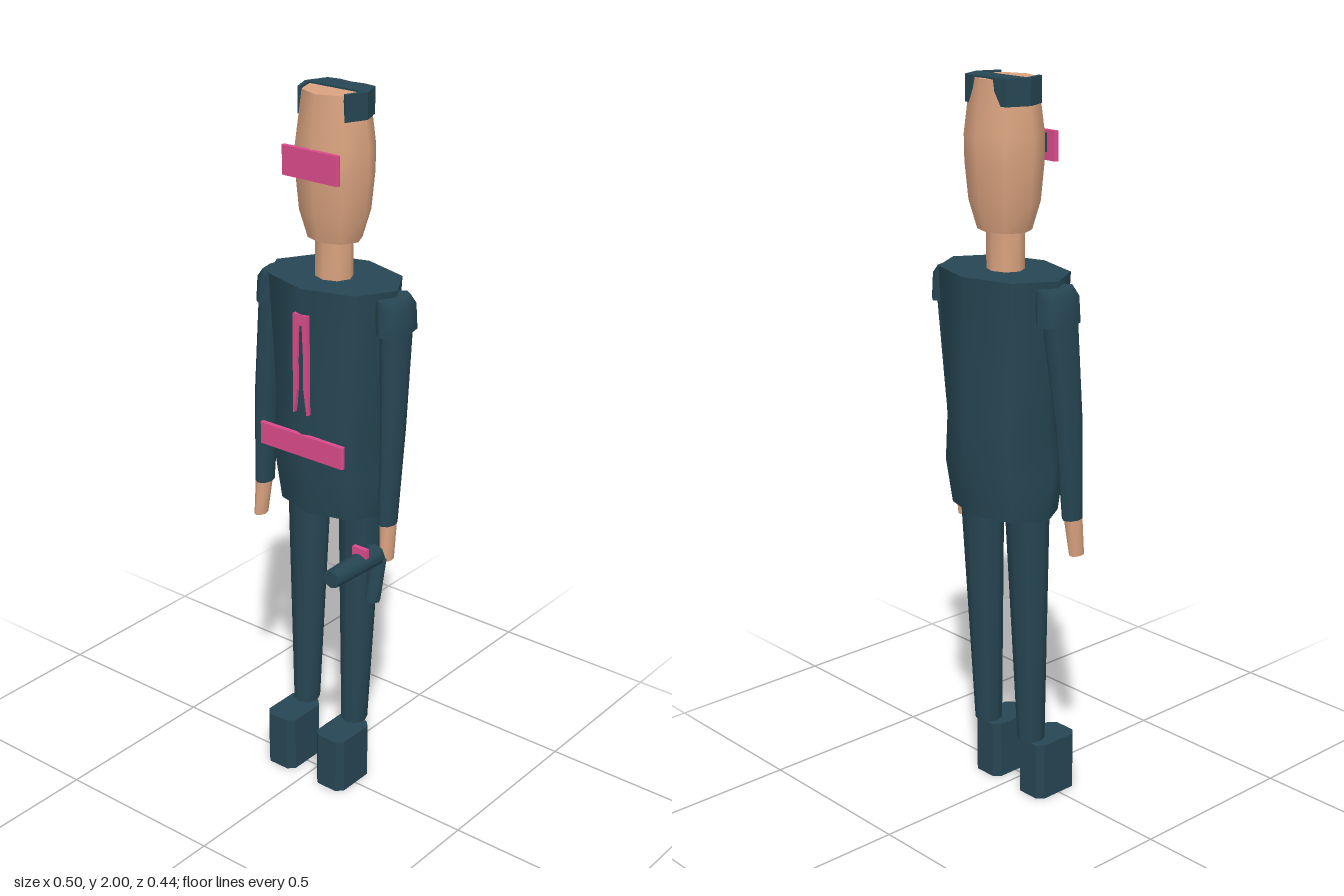
import * as THREE from 'three';

const mat = (name, color) => {
  const m = new THREE.MeshStandardMaterial({ color });
  m.name = name;
  return m;
};

// Smooth-sided loft through elliptical rings [y, x, z, rx, rz] listed bottom to top, with flat caps
function loft(rings, sides = 8) {
  const pos = [], idx = [];
  const ringVerts = ([y, x, z, rx, rz]) => {
    const start = pos.length / 3;
    for (let j = 0; j < sides; j++) {
      const a = (j / sides) * Math.PI * 2;
      pos.push(x + Math.sin(a) * rx, y, z + Math.cos(a) * rz);
    }
    return start;
  };
  const starts = rings.map(ringVerts);
  for (let i = 0; i < rings.length - 1; i++) {
    for (let j = 0; j < sides; j++) {
      const k = (j + 1) % sides;
      const a = starts[i] + j, b = starts[i] + k, c = starts[i + 1] + j, d = starts[i + 1] + k;
      idx.push(a, b, d, a, d, c);
    }
  }
  const bottom = ringVerts(rings[0]);
  const top = ringVerts(rings[rings.length - 1]);
  for (let j = 1; j < sides - 1; j++) {
    idx.push(bottom, bottom + j + 1, bottom + j, top, top + j, top + j + 1);
  }
  const g = new THREE.BufferGeometry();
  g.setAttribute('position', new THREE.Float32BufferAttribute(pos, 3));
  g.setIndex(idx);
  g.computeVertexNormals();
  return g;
}

const shapeOf = (pts) => new THREE.Shape(pts.map(([x, y]) => new THREE.Vector2(x, y)));
const extrude = (pts, depth) =>
  new THREE.ExtrudeGeometry(shapeOf(pts), { depth, bevelEnabled: false });

// Plan outline (x, backward) raised by a height
const prism = (pts, height) => extrude(pts, height).rotateX(-Math.PI / 2);

// Rectangle with cut corners
const chamfered = (w, d, c) => [
  [-w + c, -d], [w - c, -d], [w, -d + c], [w, d - c],
  [w - c, d], [-w + c, d], [-w, d - c], [-w, -d + c],
];

export function createModel() {
  const model = new THREE.Group();
  model.name = 'agent';
  const body = new THREE.Group();
  body.name = 'body';
  body.position.x = -0.004;
  model.add(body);

  const suit = mat('darkTeal', 0x264653);
  const skin = mat('skin', 0xd9a27f);
  const pink = mat('pink', 0xd94a8a);

  const add = (name, geometry, material, x = 0, y = 0, z = 0) => {
    const mesh = new THREE.Mesh(geometry, material);
    mesh.name = name;
    mesh.position.set(x, y, z);
    body.add(mesh);
    return mesh;
  };
  const Z = -0.075; // body axis

  // Torso, neck and head
  add('torso', loft([
    [0.845, 0, Z, 0.17, 0.117], [0.97, 0, Z, 0.181, 0.14],
    [1.1, 0, Z, 0.166, 0.142], [1.5, 0, Z, 0.203, 0.145],
  ]), suit);
  add('neck', loft([[1.48, 0, -0.07, 0.053, 0.048], [1.63, 0, -0.07, 0.053, 0.048]]), skin);
  add('head', loft([
    [1.605, 0, -0.073, 0.077, 0.066], [1.68, 0, -0.073, 0.1, 0.087],
    [1.78, 0, -0.073, 0.109, 0.097], [1.85, 0, -0.073, 0.11, 0.098],
    [1.995, 0, -0.073, 0.09, 0.082],
  ]), skin);

  // Hair: back half cap with a strip down each side
  add('hair', prism([
    [-0.077, -0.06], [-0.068, -0.055], [-0.086, 0], [0.086, 0], [0.068, -0.055], [0.077, -0.06],
    [0.102, 0], [0.077, 0.062], [0.04, 0.068], [0, 0.062], [-0.04, 0.068], [-0.077, 0.062],
    [-0.102, 0],
  ], 0.07), suit, 0, 1.93, Z);

  // Visor with its dark backing
  add('visor', prism(chamfered(0.0925, 0.007, 0.004), 0.078), pink, 0, 1.779, 0.027);
  add('visorBacking', new THREE.BoxGeometry(0.12, 0.05, 0.02), suit, 0, 1.825, 0.011);

  // Belt and chest fastening
  add('belt', prism(chamfered(0.1425, 0.007, 0.004), 0.062), pink, 0, 1.027, 0.066);
  add('chestFastening', extrude([
    [-0.025, 1.15], [-0.021, 1.15], [-0.011, 1.22], [-0.011, 1.3], [-0.006, 1.4],
    [0.006, 1.4], [0.011, 1.3], [0.011, 1.22], [0.021, 1.15], [0.025, 1.15],
    [0.024, 1.43], [-0.024, 1.43],
  ], 0.012), pink, 0, 0, 0.061);

  for (const [side, s] of [['left', 1], ['right', -1]]) {
    // Legs and boots
    add(side + 'Leg', loft([
      [0.175, s * 0.088, -0.06, 0.037, 0.039], [0.87, s * 0.09, -0.077, 0.064, 0.057],
    ]), suit);
    add(side + 'Boot', prism(chamfered(0.05, 0.072, 0.018), 0.165), suit, s * 0.09, 0, -0.002);

    // Arms, shoulder caps and hands
    add(side + 'Arm', loft([
      [0.855, s * 0.217, -0.032, 0.024, 0.031], [1.12, s * 0.218, -0.048, 0.027, 0.044],
      [1.43, s * 0.204, -0.073, 0.034, 0.06],
    ]), suit);
    add(side + 'Shoulder', loft([
      [1.39, s * 0.204, Z, 0.041, 0.072], [1.46, s * 0.2, Z, 0.041, 0.07],
      [1.482, s * 0.192, Z, 0.034, 0.06],
    ]), suit);
    add(side + 'Hand', loft([
      [0.752, s * 0.224, -0.022, 0.016, 0.024], [0.865, s * 0.219, -0.032, 0.021, 0.029],
    ]), skin);
  }

  // Hand-held blaster: barrel, grip and sight
  const barrel = new THREE.CylinderGeometry(0.027, 0.033, 0.19, 8).rotateX(Math.PI / 2);
  barrel.scale(1, 0.9, 1);
  add('blasterBarrel', barrel, suit, 0.22, 0.786, 0.12);
  add('blasterGrip', loft([
    [0.648, 0.22, 0.035, 0.022, 0.021], [0.765, 0.22, 0.014, 0.027, 0.021],
  ]), suit);
  add('blasterSight', new THREE.BoxGeometry(0.046, 0.03, 0.014), pink, 0.22, 0.815, 0.09);

  return model;
}
